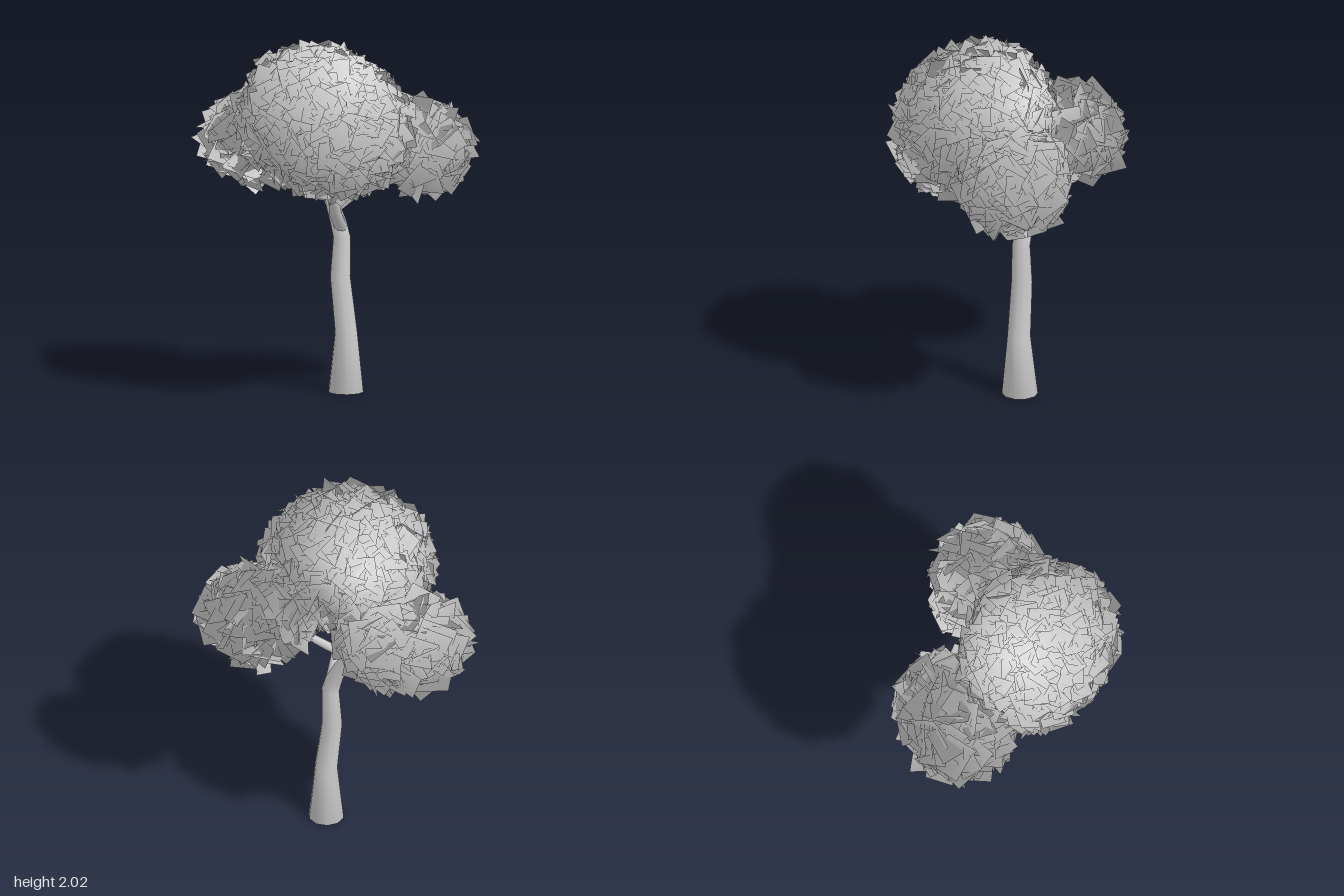
import * as THREE from 'three';

const bark = new THREE.MeshStandardMaterial({ color: 0xcccccc });
const leaf = new THREE.MeshStandardMaterial({ color: 0xcccccc, side: THREE.DoubleSide });

const CROWN = new THREE.Vector3(0, 1.55, 0);      // leaf normals radiate from here
const FORK = new THREE.Vector3(0.06, 1.0, -0.1);  // clumps are open towards here

// Small seeded random generator, 0..1
function seeded(seed) {
  let s = seed;
  return () => (s = (s * 16807) % 2147483647) / 2147483647;
}

// Tapering limb: one ring of vertices per point [x, y, z, radius], closed at the start.
// The shared vertices give smooth shading that rolls under the base.
function limb(name, points) {
  const sides = 10;
  const mids = points.map(p => new THREE.Vector3(p[0], p[1], p[2]));
  const positions = [...mids[0].toArray()], index = [];
  mids.forEach((mid, i) => {
    const along = mids[Math.min(i + 1, mids.length - 1)].clone().sub(mids[Math.max(i - 1, 0)]).normalize();
    if (i === 0) along.set(0, 1, 0);
    const q = new THREE.Quaternion().setFromUnitVectors(new THREE.Vector3(0, 1, 0), along);
    for (let j = 0; j < sides; j++) {
      const a = (j / sides + 0.25) * Math.PI * 2;
      const v = new THREE.Vector3(Math.cos(a), 0, Math.sin(a)).multiplyScalar(points[i][3]).applyQuaternion(q).add(mid);
      positions.push(v.x, v.y, v.z);
      const k = (j + 1) % sides, o = 1 + i * sides;
      if (i === 0) index.push(0, o + j, o + k);
      else index.push(o - sides + j, o + j, o + k, o - sides + j, o + k, o - sides + k);
    }
  });
  const geo = new THREE.BufferGeometry();
  geo.setAttribute('position', new THREE.Float32BufferAttribute(positions, 3));
  geo.setIndex(index);
  geo.computeVertexNormals();
  const mesh = new THREE.Mesh(geo, bark);
  mesh.name = name;
  return mesh;
}

// Leaf cards scattered over a turned, slightly boxy ellipsoid, each tilted at random;
// cards facing the fork more directly than the cosine `open` are left out
function clump({ name, centre, radii, turn, count, size, open, seed }) {
  const rand = seeded(seed);
  const positions = [], normals = [], index = [];
  const c = new THREE.Vector3(...centre), r = new THREE.Vector3(...radii);
  const rotation = new THREE.Quaternion().setFromEuler(new THREE.Euler(...turn));
  const inward = FORK.clone().sub(c).normalize();
  const front = new THREE.Vector3(0, 0, 1);
  for (let i = 0; i < count; i++) {
    const y = 1 - 2 * (i + 0.5) / count;
    const a = i * 2.39996 + rand() * 0.5;
    const ring = Math.sqrt(1 - y * y);
    const dir = new THREE.Vector3(ring * Math.cos(a), y, ring * Math.sin(a));
    if (dir.clone().applyQuaternion(rotation).dot(inward) > open) continue;
    const boxy = Math.pow(Math.abs(dir.x) ** 2.25 + Math.abs(dir.y) ** 2.25 + Math.abs(dir.z) ** 2.25, -1 / 2.25);
    const mid = dir.clone().multiply(r).multiplyScalar(boxy * (0.95 + 0.08 * rand())).applyQuaternion(rotation).add(c);
    const tilt = new THREE.Vector3(rand() - 0.5, rand() - 0.5, rand() - 0.5).multiplyScalar(1.5);
    const facing = dir.clone().divide(r).normalize().applyQuaternion(rotation).add(tilt).normalize();
    const q = new THREE.Quaternion().setFromUnitVectors(front, facing);
    const spin = rand() * Math.PI * 2;
    const half = size * (0.8 + 0.4 * rand()) * Math.SQRT1_2;
    for (let k = 0; k < 4; k++) {
      const b = spin + k * Math.PI / 2;
      const corner = new THREE.Vector3(Math.cos(b) * half, Math.sin(b) * half, 0).applyQuaternion(q).add(mid);
      const n = corner.clone().sub(CROWN).normalize();
      positions.push(corner.x, corner.y, corner.z);
      normals.push(n.x, n.y, n.z);
    }
    const o = positions.length / 3 - 4;
    index.push(o, o + 1, o + 2, o, o + 2, o + 3);
  }
  const geo = new THREE.BufferGeometry();
  geo.setAttribute('position', new THREE.Float32BufferAttribute(positions, 3));
  geo.setAttribute('normal', new THREE.Float32BufferAttribute(normals, 3));
  geo.setIndex(index);
  const mesh = new THREE.Mesh(geo, leaf);
  mesh.name = name;
  return mesh;
}

export function createModel() {
  const tree = new THREE.Group();
  tree.name = 'tree';

  // Trunk, bending over into the branch on the -x side
  tree.add(limb('trunk', [
    [0.09, 0, -0.112, 0.1], [0.093, 0.34, -0.108, 0.064], [0.058, 0.65, -0.102, 0.058],
    [0.068, 0.87, -0.104, 0.05], [0.045, 0.95, -0.105, 0.047], [0, 1.06, -0.105, 0.037],
    [-0.09, 1.2, -0.105, 0.031], [-0.25, 1.36, -0.1, 0.02],
  ]));

  // Forward branch, and the side branch that forks off it
  tree.add(limb('frontBranch', [
    [0.066, 0.86, -0.12, 0.025], [0.07, 0.94, -0.085, 0.036], [0.1, 1.03, 0.015, 0.035],
    [0.125, 1.13, 0.07, 0.03], [0.13, 1.22, 0.095, 0.026], [0.13, 1.42, 0.13, 0.018],
  ]));
  tree.add(limb('backBranch', [
    [0.1, 1.03, 0.02, 0.02], [0.14, 1.09, -0.02, 0.026],
    [0.22, 1.17, -0.09, 0.023], [0.34, 1.32, -0.2, 0.016],
  ]));

  // Foliage
  tree.add(clump({
    name: 'mainFoliage', centre: [0.125, 1.565, 0.17], radii: [0.455, 0.37, 0.375],
    turn: [0, 0, -0.22], count: 900, size: 0.125, open: 0.92, seed: 11,
  }));
  tree.add(clump({
    name: 'sideFoliage', centre: [-0.375, 1.385, -0.08], radii: [0.32, 0.215, 0.28],
    turn: [0, 0.785, 0], count: 280, size: 0.165, open: 0.55, seed: 23,
  }));
  tree.add(clump({
    name: 'backFoliage', centre: [0.37, 1.385, -0.275], radii: [0.32, 0.235, 0.255],
    turn: [0, 0.5, 0], count: 280, size: 0.165, open: 0.55, seed: 37,
  }));
  return tree;
}
